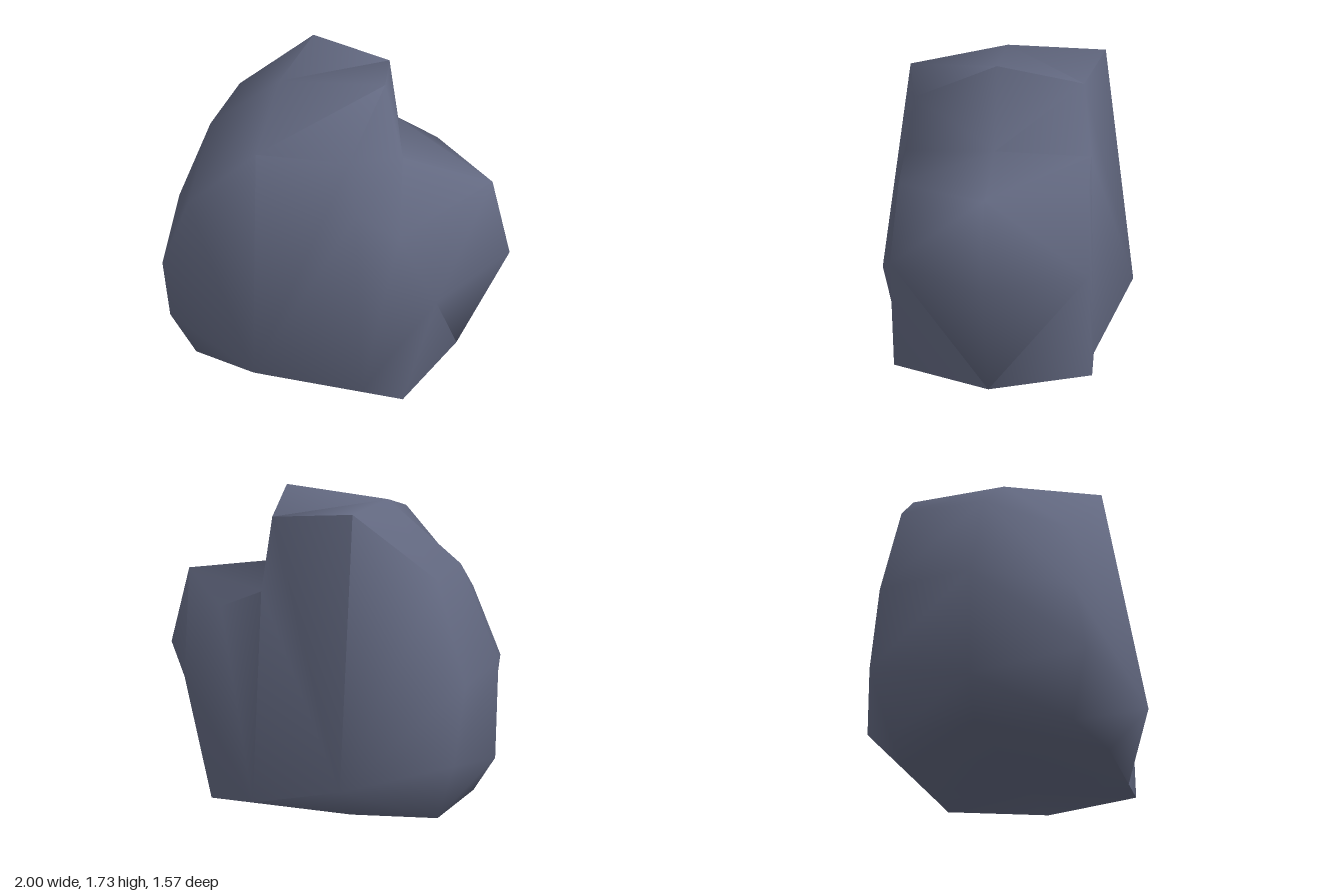
import * as THREE from 'three';
import { toCreasedNormals } from 'three/addons/utils/BufferGeometryUtils.js';

// Each station: [ridge x, ridge y, rim x, front rim y, back rim y, rim z], clockwise from the top right
const STATIONS = [
  [0.25, 1.73, 0.17, 1.51, 1.62, 0.47],
  [0.36, 1.28, 0.22, 1.21, 1.215, 0.52],
  [0.87, 1.205, 0.46, 1.11, 1.115, 0.52],
  [1.0, 0.74, 0.68, 0.73, 0.7, 0.54],
  [0.73, 0, 0.52, 0, 0, 0.57],
  [0.27, 0, 0.27, 0, 0, 0.57],
  [-0.31, 0, -0.31, 0, 0, 0.57],
  [-0.88, 0, -0.776, 0, 0, 0.476],
  [-1.0, 0.21, -0.88, 0.345, 0.345, 0.57],
  [-1.0, 0.79, -0.92, 0.68, 0.78, 0.52],
  [-0.77, 1.33, -0.75, 1.1, 1.33, 0.48],
  [-0.35, 1.67, -0.31, 1.55, 1.67, 0.57],
];
// Stations whose band facets fold from the ridge down to the next rim point
const FRONT_FOLDS = [1, 2];
const BACK_FOLDS = [2, 11];

function rockGeometry() {
  const points = [];
  const ridge = STATIONS.map(([x, y]) => [x, y, 0]);

  // One half of the rock: side is 1 for the front, -1 for the back
  function addHalf(side, rimY, folds) {
    const rim = STATIONS.map((s) => [s[2], s[rimY], side * s[5]]);
    const peak = [-0.31, 0.21, side * 0.785];
    const tri = (a, b, c) => points.push(...(side > 0 ? [a, b, c] : [a, c, b]).flat());
    const fan = (hub, loop) => {
      for (let i = 0; i < loop.length - 1; i++) tri(hub, loop[i + 1], loop[i]);
    };

    // band between the ridge and the rim
    for (let i = 0; i < rim.length; i++) {
      const j = (i + 1) % rim.length;
      if (folds.includes(i)) {
        tri(rim[i], rim[j], ridge[i]);
        tri(rim[j], ridge[j], ridge[i]);
      } else {
        tri(rim[i], rim[j], ridge[j]);
        tri(rim[i], ridge[j], ridge[i]);
      }
    }
    // bulging face, then the flat face below the step
    fan(peak, [...rim.slice(5), rim[0], rim[1], rim[5]]);
    fan(rim[5], rim.slice(1, 5));
  }

  addHalf(1, 3, FRONT_FOLDS);
  addHalf(-1, 4, BACK_FOLDS);

  const geometry = new THREE.BufferGeometry();
  geometry.setAttribute('position', new THREE.Float32BufferAttribute(points, 3));
  return toCreasedNormals(geometry, THREE.MathUtils.degToRad(78));
}

export function createModel() {
  const group = new THREE.Group();
  group.name = 'rock';
  const slate = new THREE.MeshStandardMaterial({ color: 0x626880 });
  slate.name = 'slate';
  const boulder = new THREE.Mesh(rockGeometry(), slate);
  boulder.name = 'boulder';
  group.add(boulder);
  return group;
}
